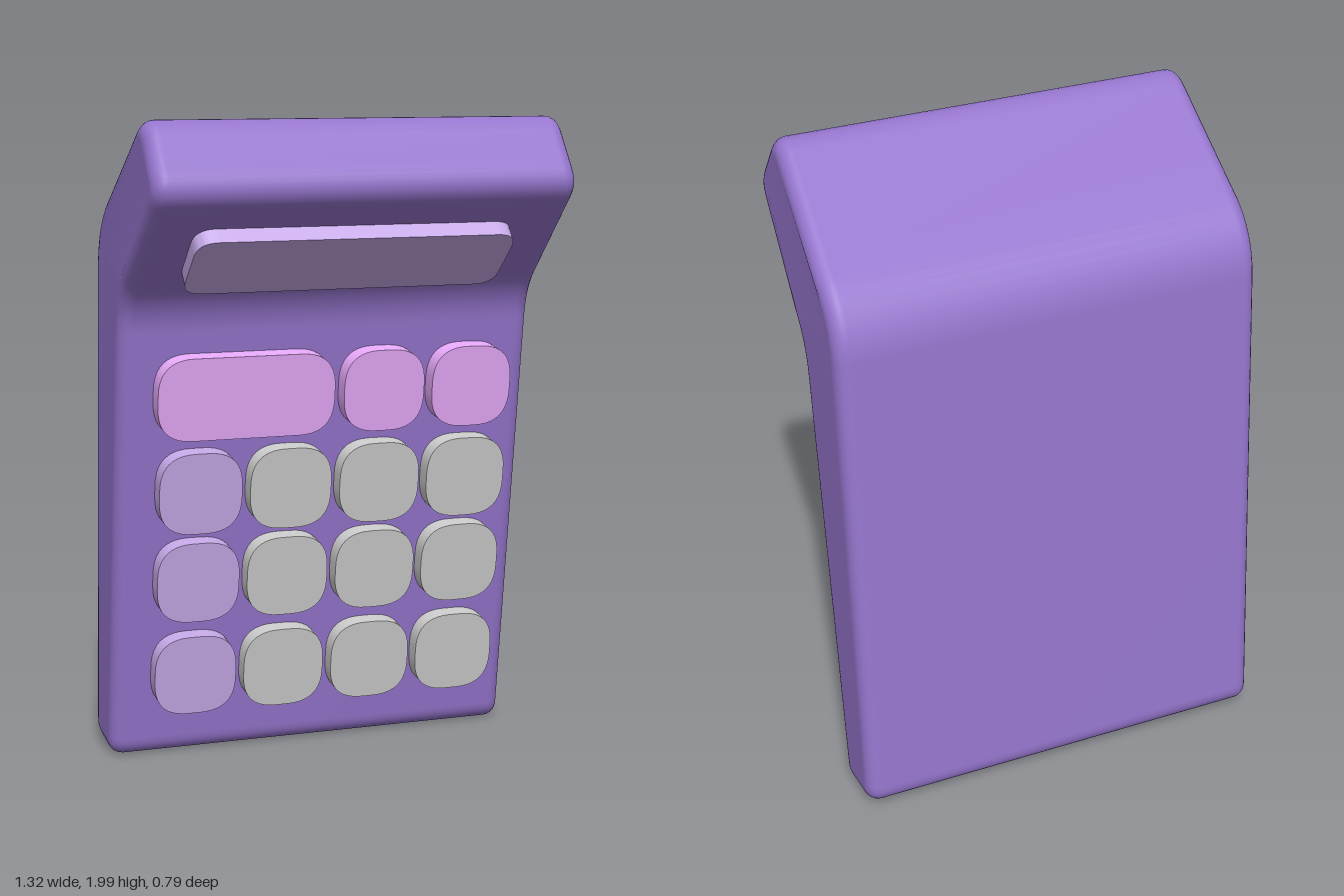
import * as THREE from 'three';
import { mergeVertices, toCreasedNormals } from 'three/addons/utils/BufferGeometryUtils.js';

const paint = (color) => new THREE.MeshStandardMaterial({ color });
const purple = paint(0x9575cd);
const lilac = paint(0xc6a9e8);
const pink = paint(0xe8aafc);
const grey = paint(0xcccccc);

// Closed polygon whose corners [x, y, cut] are rounded off by their cut length
function roundedShape(corners) {
  const shape = new THREE.Shape();
  const n = corners.length;
  corners.forEach(([x, y, cut], i) => {
    const p = new THREE.Vector2(x, y);
    const toward = ([qx, qy]) =>
      new THREE.Vector2(qx, qy).sub(p).setLength(cut).add(p);
    const a = toward(corners[(i + n - 1) % n]);
    const b = toward(corners[(i + 1) % n]);
    if (i === 0) shape.moveTo(a.x, a.y);
    else shape.lineTo(a.x, a.y);
    shape.quadraticCurveTo(x, y, b.x, b.y);
  });
  shape.closePath();
  return shape;
}

// Side profile (z, y) swept across the width with soft edges
function bodyGeometry() {
  const profile = roundedShape([
    [-0.18, 0.0, 0.065], [-0.402, 0.03, 0.065], [-0.272, 1.67, 0.14],
    [0.245, 2.023, 0.08], [0.418, 1.8, 0.08], [0.025, 1.455, 0.09],
  ]);
  const bevel = 0.045;
  const depth = 1.316 - 2 * bevel;
  let geo = new THREE.ExtrudeGeometry(profile, {
    depth, curveSegments: 8, bevelEnabled: true, bevelSize: bevel,
    bevelThickness: bevel, bevelOffset: -bevel, bevelSegments: 6,
  });
  geo.rotateY(-Math.PI / 2);
  geo.translate(depth / 2, 0, 0);

  // The hood narrows slightly toward its tip
  const pos = geo.attributes.position;
  for (let i = 0; i < pos.count; i++) {
    const reach = pos.getZ(i) * 0.75 + (pos.getY(i) - 1.5) * 0.66;
    const t = THREE.MathUtils.smoothstep(reach, 0.1, 0.55);
    pos.setX(i, pos.getX(i) * (1 - 0.025 * t));
  }
  geo.deleteAttribute('normal');
  geo.deleteAttribute('uv');
  geo = mergeVertices(geo, 1e-4);
  geo.computeVertexNormals();
  return geo;
}

// Rounded plate whose front face lies on z = 0
function plate(name, w, h, cut, depth, material) {
  const x = w / 2, y = h / 2;
  const shape = roundedShape([[-x, -y, cut], [x, -y, cut], [x, y, cut], [-x, y, cut]]);
  const geo = new THREE.ExtrudeGeometry(shape, { depth, curveSegments: 10, bevelEnabled: false });
  geo.translate(0, 0, -depth);
  const mesh = new THREE.Mesh(toCreasedNormals(geo, 0.6), material);
  mesh.name = name;
  return mesh;
}

export function createModel() {
  const model = new THREE.Group();
  model.name = 'calculator';

  const body = new THREE.Mesh(bodyGeometry(), purple);
  body.name = 'body';
  model.add(body);

  // Display under the hood
  const screen = plate('screen', 0.98, 0.252, 0.065, 0.075, lilac);
  screen.position.set(-0.01, 1.572, 0.23);
  screen.rotation.x = 0.856;
  model.add(screen);

  // Keys sit proud of the sloping front face
  const keypad = new THREE.Group();
  keypad.name = 'keypad';
  const addKey = (name, x, y, w, material) => {
    const key = plate(name, w, 0.257, 0.11, 0.085, material);
    key.position.set(x, y, -0.124 + 0.145 * (y - 0.15) + 0.02);
    key.rotation.x = 0.143;
    keypad.add(key);
  };
  const columns = [-0.408, -0.122, 0.166, 0.453];
  [0.277, 0.582, 0.867].forEach((y) => {
    columns.forEach((x, c) =>
      addKey(c === 0 ? 'functionKey' : 'numberKey', x, y, 0.26, c === 0 ? lilac : grey));
  });
  addKey('wideKey', -0.272, 1.162, 0.555, pink);
  addKey('topKey', columns[2], 1.162, 0.26, pink);
  addKey('topKey', columns[3], 1.162, 0.26, pink);
  model.add(keypad);

  return model;
}
